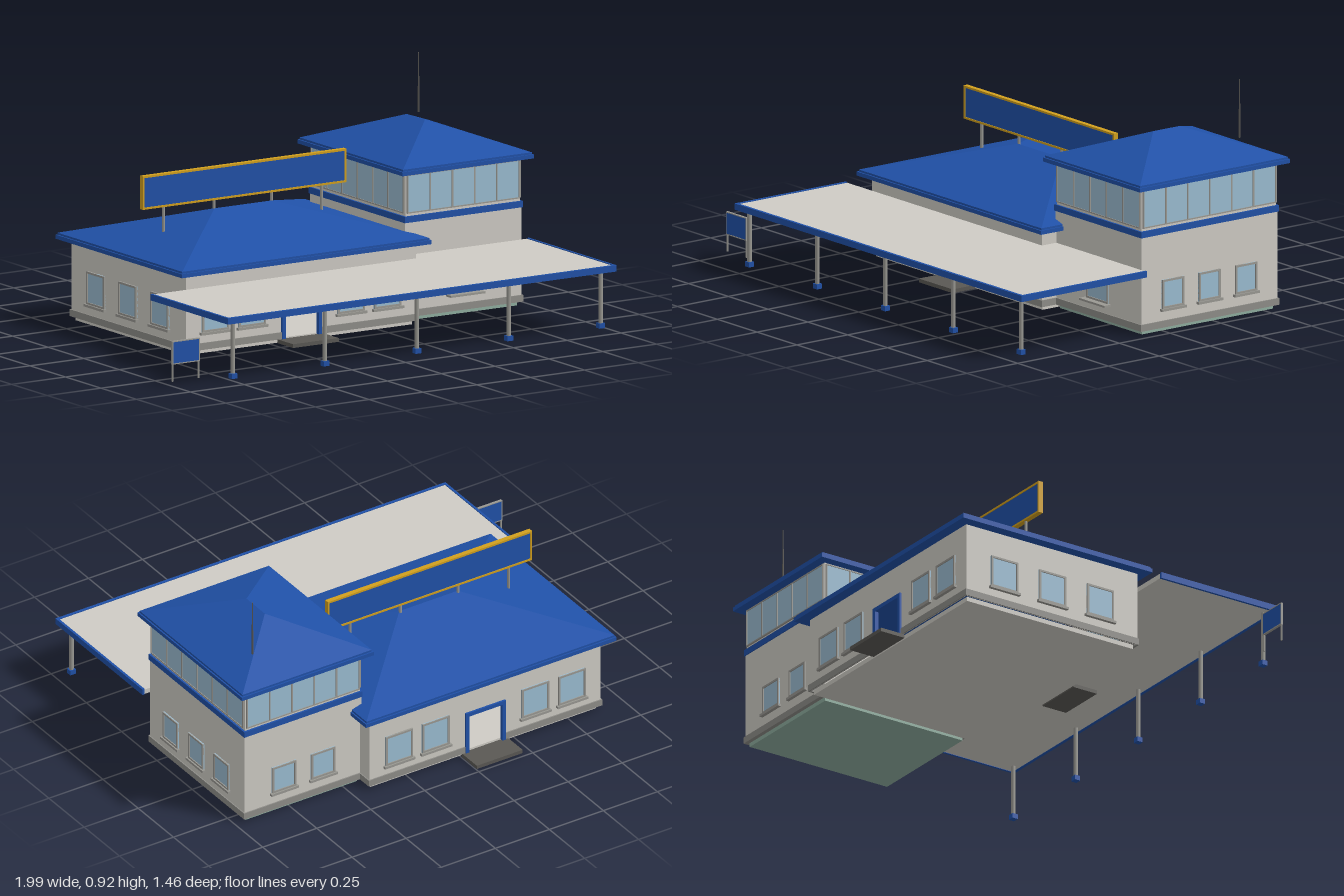
import * as THREE from 'three';

const mat = (name, color) => Object.assign(new THREE.MeshStandardMaterial({ color }), { name });
const M = {
  wall: mat('wall cream', 0xcfccc5),
  blue: mat('roof blue', 0x2051a8),
  glass: mat('window glass', 0x9bbdd2),
  trim: mat('trim grey', 0x9a9993),
  plinth: mat('plinth grey', 0x8f8e89),
  dark: mat('step grey', 0x5a5854),
  gold: mat('sign gold', 0xd2a01e),
  green: mat('floor green', 0x8fae9f),
};

function add(parent, name, geo, m, x = 0, y = 0, z = 0) {
  const mesh = new THREE.Mesh(geo, m);
  mesh.name = name;
  mesh.position.set(x, y, z);
  parent.add(mesh);
  return mesh;
}

// Box given by its limits on each axis
function box(parent, name, m, x0, x1, y0, y1, z0, z1) {
  return add(parent, name, new THREE.BoxGeometry(x1 - x0, y1 - y0, z1 - z0), m,
    (x0 + x1) / 2, (y0 + y1) / 2, (z0 + z1) / 2);
}

function group(parent, name) {
  const g = new THREE.Group();
  g.name = name;
  parent.add(g);
  return g;
}

// Group on one side of a block: local +z points outwards, local x runs along the wall
function side(parent, name, b, turn) {
  const g = group(parent, name);
  const deep = turn % 2 ? b.hw : b.hd;
  g.rotation.y = turn * Math.PI / 2;
  g.position.set(b.cx + Math.sin(g.rotation.y) * deep, 0, b.cz + Math.cos(g.rotation.y) * deep);
  return g;
}

// Rectangular frame made of four bars
function frame(parent, name, m, x0, x1, y0, y1, z0, z1, t, bottom = true) {
  box(parent, name, m, x0, x0 + t, y0, y1, z0, z1);
  box(parent, name, m, x1 - t, x1, y0, y1, z0, z1);
  box(parent, name, m, x0 + t, x1 - t, y1 - t, y1, z0, z1);
  if (bottom) box(parent, name, m, x0 + t, x1 - t, y0, y0 + t, z0, z1);
}

function windowAt(parent, x, w, y0, y1) {
  const g = group(parent, 'window');
  box(g, 'pane', M.glass, x - w / 2, x + w / 2, y0, y1, 0, 0.004);
  frame(g, 'windowFrame', M.trim, x - w / 2, x + w / 2, y0, y1, 0, 0.008, 0.008);
  box(g, 'sill', M.trim, x - w / 2 - 0.008, x + w / 2 + 0.008, y0 - 0.01, y0, 0, 0.014);
}

// Hipped roof with an eave board and a lip beneath the slopes
function hipRoof(parent, name, x0, x1, z0, z1, y0, top) {
  const g = group(parent, name);
  box(g, 'eave', M.blue, x0, x1, y0, y0 + 0.016, z0, z1);
  const i = 0.006, yb = y0 + 0.024;
  box(g, 'eaveLip', M.blue, x0 + i, x1 - i, y0 + 0.016, yb, z0 + i, z1 - i);
  x0 += i; x1 -= i; z0 += i; z1 -= i;
  const wide = x1 - x0 > z1 - z0, h = Math.min(x1 - x0, z1 - z0) / 2;
  const cx = (x0 + x1) / 2, cz = (z0 + z1) / 2;
  const ends = wide ? [[x0 + h, top, cz], [x1 - h, top, cz]] : [[cx, top, z1 - h], [cx, top, z0 + h]];
  const p = [[x0, yb, z1], [x1, yb, z1], [x1, yb, z0], [x0, yb, z0], ...ends];
  const tris = wide
    ? [0, 1, 5, 0, 5, 4, 1, 2, 5, 2, 3, 4, 2, 4, 5, 3, 0, 4]
    : [0, 1, 4, 1, 2, 5, 1, 5, 4, 2, 3, 5, 3, 0, 4, 3, 4, 5];
  const geo = new THREE.BufferGeometry();
  geo.setAttribute('position', new THREE.Float32BufferAttribute(tris.flatMap(k => p[k]), 3));
  geo.computeVertexNormals();
  add(g, 'slopes', geo, M.blue);
}

function buildHall(root) {
  const hall = group(root, 'hall');
  const b = { cx: -0.11, cz: -0.2225, hw: 0.535, hd: 0.4025 };
  const D = 0.0925, top = 0.325;
  box(hall, 'floorSlab', M.wall, b.cx - b.hw + 0.012, b.cx + b.hw - 0.012, 0, 0.018,
    b.cz - b.hd + 0.012, b.cz + b.hd - 0.012);

  for (let t = 0; t < 4; t++) {
    const s = side(hall, ['frontWall', 'rightEndWall', 'backWall', 'leftEndWall'][t], b, t);
    const hw = t % 2 ? b.hd : b.hw, hasDoor = t % 2 === 0;
    // Wall face, notched for the open doorway
    const pts = [[-hw, 0.015]];
    if (hasDoor) pts.push([-D, 0.015], [-D, 0.195], [D, 0.195], [D, 0.015]);
    pts.push([hw, 0.015], [hw, top], [-hw, top]);
    const shape = new THREE.Shape(pts.map(q => new THREE.Vector2(...q)));
    add(s, 'wallFace', new THREE.ShapeGeometry(shape), M.wall);
    const spans = hasDoor ? [[-hw - 0.005, -D], [D, hw + 0.005]] : [[-hw, hw]];
    for (const [a, c] of spans) box(s, 'plinth', M.plinth, a, c, 0.016, 0.043, -0.004, 0.005);
    if (hasDoor) {
      frame(s, 'doorFrame', M.blue, -D, D, 0.016, 0.196, -0.008, 0.009, 0.016, false);
      box(s, 'doorStep', M.dark, -0.106, 0.106, 0, 0.015, -0.005, 0.105);
      for (const x of [-0.40, -0.23, 0.23, 0.40]) windowAt(s, x, 0.125, 0.085, 0.215);
    } else if (t === 3) {
      for (const x of [-0.225, 0, 0.225]) windowAt(s, x, 0.125, 0.085, 0.215);
    }
  }
  hipRoof(hall, 'hallRoof', -0.69, 0.47, -0.67, 0.22, 0.32, 0.467);
}

function buildTower(root) {
  const tower = group(root, 'tower');
  const b = { cx: 0.69, cz: -0.225, hw: 0.27, hd: 0.335 };
  const block = (name, m, y0, y1, out) => box(tower, name, m,
    b.cx - b.hw - out, b.cx + b.hw + out, y0, y1, b.cz - b.hd - out, b.cz + b.hd + out);
  block('floorSlab', M.green, 0, 0.016, -0.012);
  block('plinth', M.plinth, 0.016, 0.043, 0.005);
  block('lowerWalls', M.wall, 0.043, 0.39, 0);
  block('blueBand', M.blue, 0.39, 0.415, 0.004);
  block('upperWalls', M.wall, 0.415, 0.59, -0.004);

  for (let t = 0; t < 4; t++) {
    const s = side(tower, ['front', 'right', 'back', 'left'][t] + 'Lookout', b, t);
    const hw = (t % 2 ? b.hd : b.hw) - 0.012, n = t % 2 ? 6 : 5;
    // Window band divided by mullions
    box(s, 'lookoutGlass', M.glass, -hw, hw, 0.43, 0.576, -0.004, 0);
    frame(s, 'lookoutFrame', M.trim, -hw - 0.004, hw + 0.004, 0.426, 0.58, -0.004, 0.003, 0.005);
    for (let i = 1; i < n; i++) {
      const x = -hw + 2 * hw * i / n;
      box(s, 'mullion', M.trim, x - 0.003, x + 0.003, 0.43, 0.576, -0.004, 0.003);
    }
    if (t === 0) {
      // Ticket window with counter and awning
      windowAt(s, 0, 0.135, 0.085, 0.175);
      box(s, 'counter', M.trim, -0.08, 0.08, 0.077, 0.085, 0, 0.034);
      box(s, 'awning', M.blue, -0.095, 0.095, 0.182, 0.19, 0, 0.065);
    }
    if (t === 1) for (const x of [-0.18, 0, 0.18]) windowAt(s, x - 0.003, 0.105, 0.092, 0.207);
    if (t === 2) for (const x of [-0.09, 0.09]) windowAt(s, x, 0.11, 0.092, 0.207);
  }
  hipRoof(tower, 'towerRoof', 0.385, 0.995, -0.595, 0.145, 0.585, 0.72);
  add(tower, 'antenna', new THREE.CylinderGeometry(0.002, 0.004, 0.235, 8), M.dark, 0.855, 0.798, -0.455);
}

function buildCanopy(root) {
  const g = group(root, 'canopy');
  box(g, 'canopyDeck', M.wall, -0.80, 0.42, 0.242, 0.262, 0.18, 0.715);
  box(g, 'canopyDeck', M.wall, 0.42, 0.985, 0.242, 0.262, 0.11, 0.715);
  box(g, 'frontFascia', M.blue, -0.81, 0.995, 0.24, 0.265, 0.715, 0.727);
  box(g, 'leftFascia', M.blue, 0.985, 0.995, 0.24, 0.265, 0.11, 0.715);
  box(g, 'rightFascia', M.blue, -0.81, -0.80, 0.24, 0.265, 0.18, 0.715);
  for (let i = 0; i < 5; i++) {
    const x = -0.763 + i * 0.427;
    add(g, 'post', new THREE.CylinderGeometry(0.009, 0.009, 0.212, 12), M.trim, x, 0.136, 0.69);
    box(g, 'postFoot', M.blue, x - 0.013, x + 0.013, 0.016, 0.036, 0.678, 0.702);
  }
}

function buildSigns(root) {
  // Long board above the hall roof
  const r = group(root, 'roofSign');
  frame(r, 'signFrame', M.gold, -0.58, 0.365, 0.5, 0.633, -0.24, -0.22, 0.008);
  box(r, 'signPanel', M.blue, -0.573, 0.358, 0.507, 0.626, -0.237, -0.223);
  for (const x of [-0.478, -0.243, 0.024, 0.256])
    add(r, 'signPost', new THREE.CylinderGeometry(0.006, 0.006, 0.12, 8), M.trim, x, 0.445, -0.23);

  // Small board standing on two legs
  const s = group(root, 'yardSign');
  for (const x of [-0.995, -0.875])
    add(s, 'yardSignLeg', new THREE.CylinderGeometry(0.004, 0.004, 0.16, 8), M.trim, x, 0.097, 0.617);
  frame(s, 'yardSignFrame', M.trim, -0.999, -0.871, 0.085, 0.177, 0.612, 0.622, 0.004);
  box(s, 'yardSignPanel', M.blue, -0.996, -0.874, 0.088, 0.174, 0.613, 0.621);
}

export function createModel() {
  const root = new THREE.Group();
  root.name = 'stationBuilding';
  buildHall(root);
  buildTower(root);
  buildCanopy(root);
  buildSigns(root);
  return root;
}
